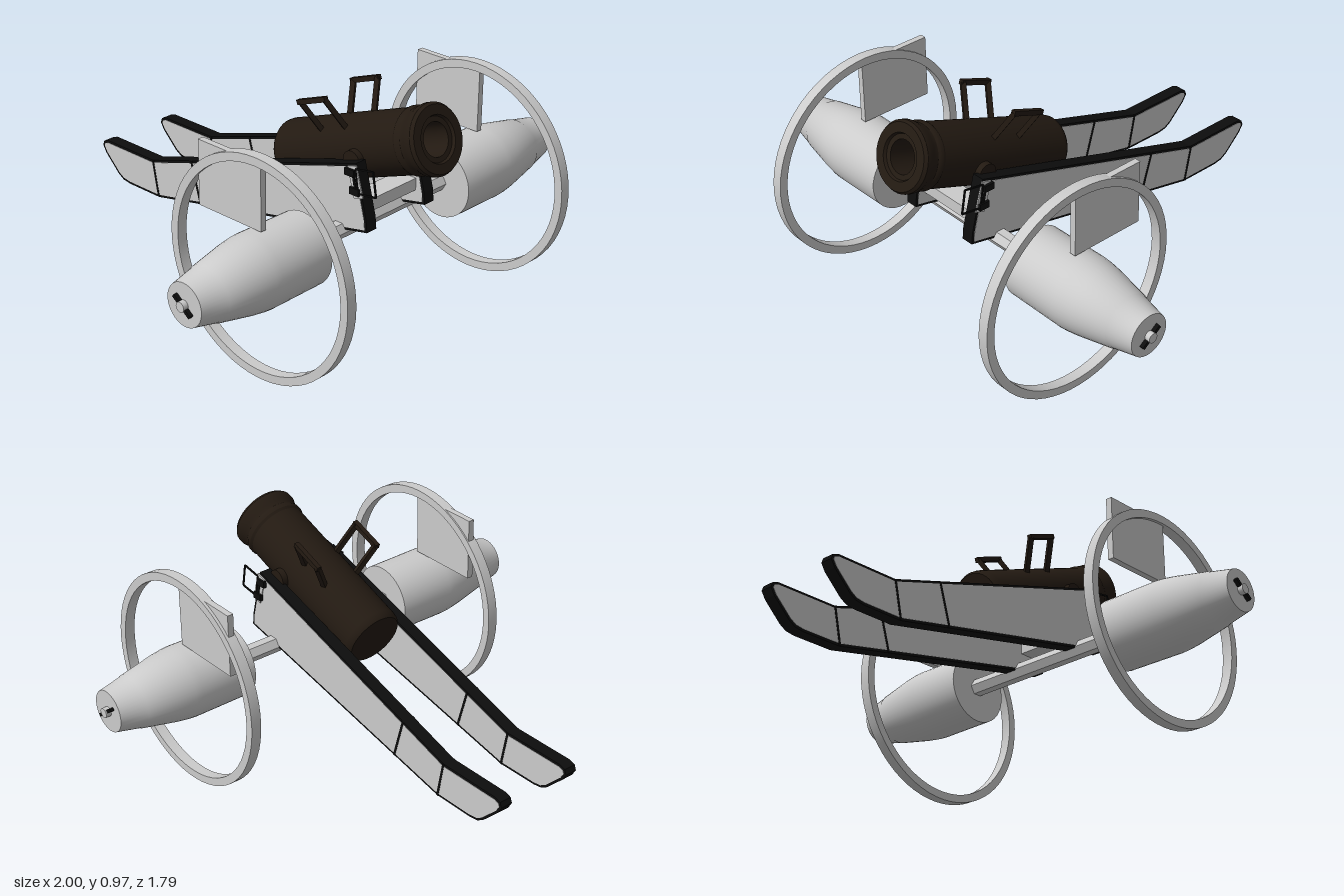
import * as THREE from 'three';
import { toCreasedNormals } from 'three/addons/utils/BufferGeometryUtils.js';

const grey = new THREE.MeshStandardMaterial({ color: 0xcccccc });
const iron = new THREE.MeshStandardMaterial({ color: 0x0d0d0d });
const bronze = new THREE.MeshStandardMaterial({ color: 0x231a12 });

function add(parent, name, geometry, material) {
  const mesh = new THREE.Mesh(geometry, material);
  mesh.name = name;
  parent.add(mesh);
  return mesh;
}

// Turned solid about y, with sharp edges kept
function turned(points, segments) {
  const profile = points.map(([r, y]) => new THREE.Vector2(r, y));
  return toCreasedNormals(new THREE.LatheGeometry(profile, segments), 0.5);
}

// Square bar from a to b; w is its width along x, d its other width
function bar(parent, name, a, b, w, d, material) {
  const start = new THREE.Vector3(...a), end = new THREE.Vector3(...b);
  const dir = end.clone().sub(start);
  const mesh = add(parent, name, new THREE.BoxGeometry(w, dir.length(), d), material);
  mesh.position.copy(start).add(end).multiplyScalar(0.5);
  mesh.quaternion.setFromUnitVectors(new THREE.Vector3(0, 1, 0), dir.normalize());
  return mesh;
}

// Plate outlined in (z, y) and centred on x = 0
function plate(points, thickness) {
  const shape = new THREE.Shape(points.map(([z, y]) => new THREE.Vector2(z, y)));
  const geometry = new THREE.ExtrudeGeometry(shape, { depth: thickness, bevelEnabled: false });
  return geometry.translate(0, 0, -thickness / 2).rotateY(-Math.PI / 2);
}

// Shrink a counter-clockwise outline by distance d
function inset(points, d) {
  const n = points.length;
  const normal = (a, b) => new THREE.Vector2(a[1] - b[1], b[0] - a[0]).normalize();
  return points.map((p, i) => {
    const n1 = normal(points[(i + n - 1) % n], p);
    const n2 = normal(p, points[(i + 1) % n]);
    const k = d / (1 + n1.dot(n2));
    return [p[0] + k * (n1.x + n2.x), p[1] + k * (n1.y + n2.y)];
  });
}

function makeBarrel() {
  const barrel = new THREE.Group();
  barrel.name = 'barrel';
  const L = 0.763;
  add(barrel, 'barrelTube', turned([
    [0, 0], [0.113, 0], [0.122, 0.012], [0.125, 0.03], [0.125, 0.655], [0.131, 0.665],
    [0.131, 0.68], [0.126, 0.69], [0.129, 0.71], [0.137, 0.73], [0.137, 0.75], [0.128, L],
    [0.09, L], [0.085, L - 0.012], [0.065, L - 0.012], [0.065, 0.3], [0, 0.3],
  ], 40), bronze);
  const trunnions = add(barrel, 'trunnions', new THREE.CylinderGeometry(0.04, 0.04, 0.3, 24), bronze);
  trunnions.rotation.z = Math.PI / 2;
  trunnions.position.set(0, 0.45, 0.02);
  // Lifting handles leaning outwards
  for (const s of [-1, 1]) {
    const handle = new THREE.Group();
    handle.name = s > 0 ? 'leftHandle' : 'rightHandle';
    const top = [s * 0.147, -0.22], foot = [s * 0.075, -0.085];
    for (const y of [0.262, 0.392]) {
      bar(handle, 'handleLeg', [foot[0], y, foot[1]], [top[0], y, top[1]], 0.02, 0.02, bronze);
    }
    bar(handle, 'handleGrip', [top[0], 0.252, top[1]], [top[0], 0.402, top[1]], 0.02, 0.02, bronze);
    barrel.add(handle);
  }
  barrel.position.set(0, 0.58, 0.043);
  barrel.rotation.x = 1.209;
  return barrel;
}

function makeCheek(s) {
  const cheek = new THREE.Group();
  cheek.name = s > 0 ? 'leftCheek' : 'rightCheek';
  const outline = [
    [0.53, 0.743], [-0.58, 0.395], [-0.86, 0.395], [-0.885, 0.386], [-0.893, 0.365], [-0.875, 0.335],
    [-0.8, 0.262], [-0.77, 0.244], [-0.73, 0.238], [-0.55, 0.238], [0.59, 0.48], [0.585, 0.53],
  ];
  add(cheek, 'cheekIronEdge', plate(outline, 0.052), iron);
  add(cheek, 'cheekBoard', plate(inset(outline, 0.01), 0.055), grey);
  // Iron bands across the trail
  bar(cheek, 'trailBand', [0, 0.466, -0.35], [0, 0.293, -0.3], 0.058, 0.01, iron);
  bar(cheek, 'trailBand', [0, 0.393, -0.58], [0, 0.24, -0.55], 0.058, 0.01, iron);
  // Trunnion strap, bolts and ring on the outer side
  const x = s * 0.029;
  bar(cheek, 'strap', [x, 0.73, 0.515], [x, 0.61, 0.55], 0.006, 0.045, grey);
  for (const [y, z] of [[0.705, 0.51], [0.635, 0.535]]) {
    bar(cheek, 'bolt', [x, y - 0.014, z], [x, y + 0.014, z], 0.026, 0.045, iron);
  }
  bar(cheek, 'strapRod', [x, 0.7, 0.525], [x, 0.63, 0.54], 0.015, 0.01, iron);
  const ring = [[0.74, 0.62], [0.725, 0.535], [0.63, 0.55], [0.642, 0.637]];
  ring.forEach(([y, z], i) => {
    const [y2, z2] = ring[(i + 1) % 4];
    bar(cheek, 'squareRing', [s * 0.033, y, z], [s * 0.033, y2, z2], 0.006, 0.006, iron);
  });
  cheek.position.x = s * 0.163;
  return cheek;
}

function makeWheel(s) {
  const wheel = new THREE.Group();
  wheel.name = s > 0 ? 'leftWheel' : 'rightWheel';
  const turn = -s * Math.PI / 2;
  const rim = add(wheel, 'rim', turned(
    [[0.41, -0.022], [0.444, -0.022], [0.444, 0.022], [0.41, 0.022], [0.41, -0.022]], 64), grey);
  rim.rotation.z = turn;
  rim.position.x = s * 0.607;
  const hub = add(wheel, 'hub', turned([
    [0, 0.387], [0.147, 0.387], [0.149, 0.64], [0.147, 0.67], [0.14, 0.72],
    [0.111, 0.868], [0.108, 0.872], [0.086, 0.978], [0, 0.978],
  ], 40), grey);
  hub.rotation.z = turn;
  // Axle end with its linchpin
  const cap = add(wheel, 'axleEnd', new THREE.CylinderGeometry(0.02, 0.02, 0.03, 20), grey);
  cap.rotation.z = turn;
  cap.position.x = s * 0.985;
  bar(wheel, 'linchpin', [s * 0.986, -0.03, 0.04], [s * 0.986, 0.03, -0.04], 0.016, 0.014, iron);
  // Square board standing in the rim
  const board = add(wheel, 'wheelBoard', new THREE.BoxGeometry(0.026, 0.262, 0.317), grey);
  board.position.set(s * 0.604, 0.285, -0.144);
  wheel.position.set(0, 0.445, 0.455);
  return wheel;
}

export function createModel() {
  const model = new THREE.Group();
  model.name = 'fieldCannon';
  model.add(makeBarrel());
  for (const s of [-1, 1]) model.add(makeCheek(s), makeWheel(s));
  // Axle and the cross piece between the cheeks
  const axle = add(model, 'axle',
    new THREE.CylinderGeometry(0.036, 0.036, 0.8, 6).toNonIndexed(), grey);
  axle.geometry.computeVertexNormals();
  axle.rotation.z = Math.PI / 2;
  axle.position.set(0, 0.447, 0.452);
  const transom = add(model, 'transom', new THREE.BoxGeometry(0.28, 0.05, 0.09), grey);
  transom.position.set(0, 0.553, 0.5);
  return model;
}
